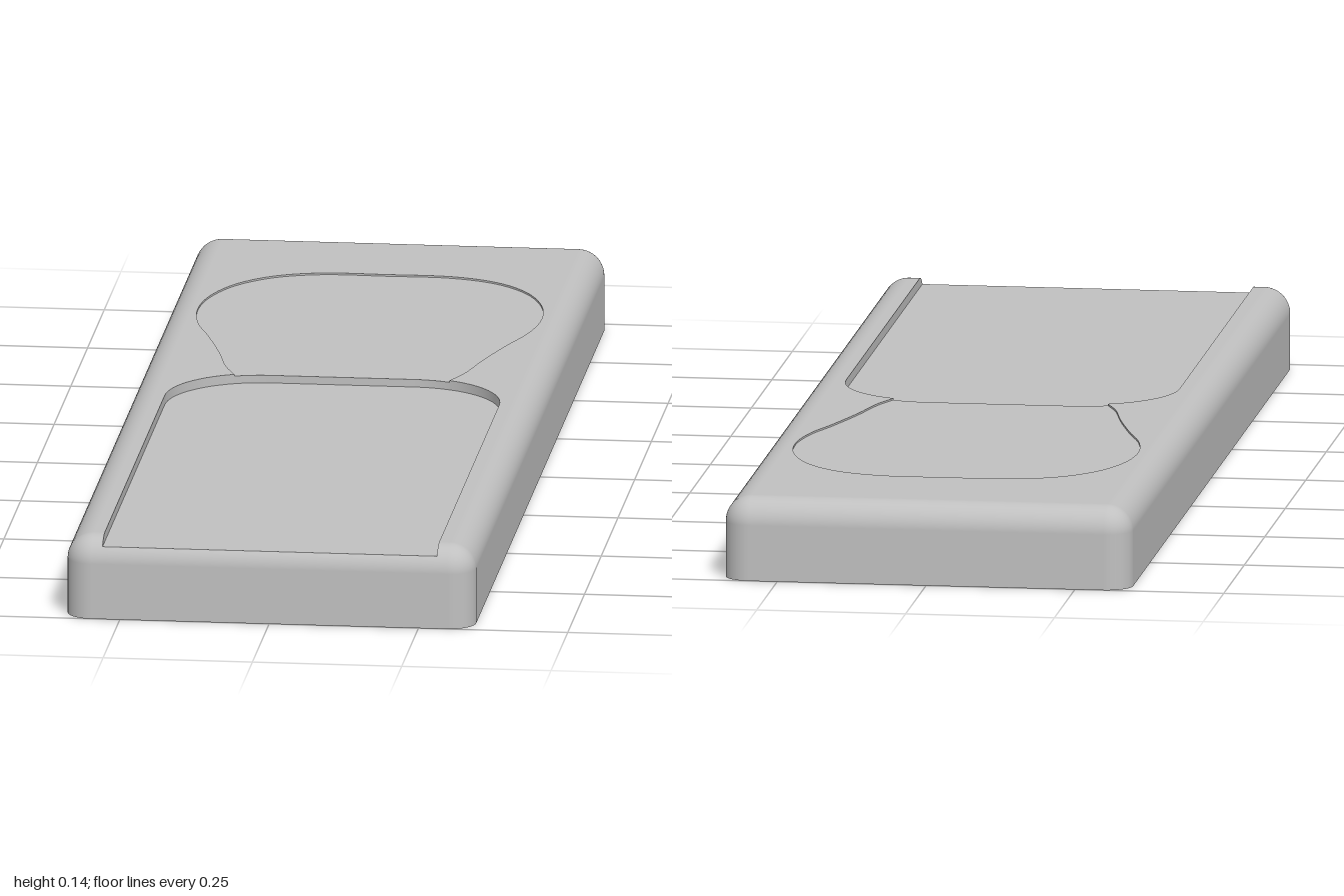
import * as THREE from 'three';

const W = 0.342, L = 1, H = 0.138;          // half width, half length, height
const R = 0.044;                            // edge rounding
const CX = W - R, CZ = L - R, CY = H - R;   // centres of the rounded corners
const DEEP = 0.122, SHALLOW = 0.135;        // floor heights of the two recesses
const SLOT = 0.28, ARC = 0.16;              // slot half width and its corner radius
const SLOT_Z = 0.06;                        // where the slot corners begin

const material = new THREE.MeshStandardMaterial({ color: 0xc0c0c0, side: THREE.DoubleSide });
material.name = 'plain grey';

const mirrored = (half) => half.map(([x, z]) => [-x, z]).reverse();

function mesh(name, geometry) {
  const m = new THREE.Mesh(geometry, material);
  m.name = name;
  return m;
}

// Flat horizontal face from [x, z] points
function flat(name, points, y, down = false) {
  const s = down ? 1 : -1;
  const g = new THREE.ShapeGeometry(new THREE.Shape(points.map(([x, z]) => new THREE.Vector2(x, s * z))));
  g.rotateX(s * Math.PI / 2);
  g.translate(0, y, 0);
  return mesh(name, g);
}

// Upright wall along [x, z] points, from height lo to height hi(point)
function wall(name, points, lo, hi) {
  const pos = [], idx = [];
  points.forEach((p, i) => {
    pos.push(p[0], lo, p[1], p[0], p[2] ?? hi, p[1]);
    if (i) {
      const a = 2 * i - 2;
      idx.push(a, a + 1, a + 3, a, a + 3, a + 2);
    }
  });
  const g = new THREE.BufferGeometry();
  g.setAttribute('position', new THREE.Float32BufferAttribute(pos, 3));
  g.setIndex(idx);
  g.computeVertexNormals();
  return mesh(name, g);
}

// Outline as centre points with outward angles; two extra points mark the slot
function outline() {
  const ring = [], n = 10;
  [[1, 1], [-1, 1], [-1, -1], [1, -1]].forEach(([sx, sz], c) => {
    for (let i = 0; i <= n; i++) ring.push([sx * CX, sz * CZ, (c + i / n) * Math.PI / 2]);
    if (c === 0) ring.push([SLOT, CZ, Math.PI / 2], [-SLOT, CZ, Math.PI / 2]);
  });
  return { ring, slotIndex: n + 1 };
}

// Elevation angles of the top rounding, with one level exactly at the slot floor
const slotAngle = Math.asin((DEEP - CY) / R);
const angles = [];
for (let i = 0; i <= 5; i++) angles.push(slotAngle * i / 5);
for (let i = 1; i <= 8; i++) angles.push(slotAngle + (Math.PI / 2 - slotAngle) * i / 8);

// Sides and rounded top edge, left open where the slot runs out at the front
function shell() {
  const { ring, slotIndex } = outline();
  const levels = [[0, 0], ...angles.map((e) => [CY + R * Math.sin(e), e])];
  const pos = [], nor = [], idx = [], n = ring.length;
  levels.forEach(([y, e], k) => {
    const c = Math.cos(e);
    ring.forEach(([x, z, a], i) => {
      pos.push(x + R * c * Math.cos(a), y, z + R * c * Math.sin(a));
      nor.push(c * Math.cos(a), Math.sin(e), c * Math.sin(a));
      if (k === 0 || (i === slotIndex && levels[k - 1][0] > DEEP - 1e-6)) return;
      const j = (i + 1) % n, lo = (k - 1) * n, hi = k * n;
      idx.push(lo + i, hi + i, hi + j, lo + i, hi + j, lo + j);
    });
  });
  const g = new THREE.BufferGeometry();
  g.setAttribute('position', new THREE.Float32BufferAttribute(pos, 3));
  g.setAttribute('normal', new THREE.Float32BufferAttribute(nor, 3));
  g.setIndex(idx);
  return mesh('bodySides', g);
}

export function createModel() {
  const group = new THREE.Group();
  group.name = 'recessedSlab';

  // Body
  group.add(shell());
  const base = outline().ring.map(([x, z, a]) => [x + R * Math.cos(a), z + R * Math.sin(a)]);
  group.add(flat('bodyUnderside', base, 0, true));

  // Slot outline: right side up to the junction, then the middle of the arch
  const junction = Math.acos(0.06 / ARC);
  const arcPoint = (a) => [SLOT - ARC + ARC * Math.cos(a), SLOT_Z - ARC * Math.sin(a)];
  const side = [], middleHalf = [];
  for (let i = 0; i <= 14; i++) side.push(arcPoint(junction * i / 14));
  for (let i = 0; i <= 5; i++) middleHalf.push(arcPoint(junction + (Math.PI / 2 - junction) * i / 5));
  const middle = [...middleHalf, ...mirrored(middleHalf)];

  // Pear-shaped shallow recess, from the right junction around to the left one
  const half = [side[14], [0.2, -0.14], [0.22, -0.225], [0.25, -0.33], [0.276, -0.41], [0.288, -0.5],
    [0.278, -0.59], [0.242, -0.675], [0.185, -0.732], [0.11, -0.76]];
  const curve = new THREE.CatmullRomCurve3(
    [...half, [0, -0.762], ...mirrored(half)].map(([x, z]) => new THREE.Vector3(x, 0, z)), false, 'centripetal');
  const pear = curve.getPoints(100).map((p) => [p.x, p.z]);

  // Top face around both recesses
  const inner = [[SLOT, CZ], ...side, ...pear.slice(1, -1), ...mirrored(side), [-SLOT, CZ]];
  group.add(flat('topFace', [...inner, [-CX, CZ], [-CX, -CZ], [CX, -CZ], [CX, CZ]], H));

  // Recess floors
  const frontZ = CZ + R * Math.cos(slotAngle);
  const slotFloor = [[SLOT, frontZ], ...side, ...middle.slice(1, -1), ...mirrored(side), [-SLOT, frontZ]];
  group.add(flat('slotFloor', slotFloor, DEEP));
  group.add(flat('shallowFloor', [...pear, ...mirrored(middle).map(([x, z]) => [-x, z]).slice(1, -1)], SHALLOW));

  // Recess walls; the slot wall follows the rounded edge down at the front
  const front = angles.filter((e) => e >= slotAngle - 1e-9)
    .map((e) => [SLOT, CZ + R * Math.cos(e), CY + R * Math.sin(e)]);
  const right = [...front, ...side];
  const left = right.map(([x, z, y]) => [-x, z, y]).reverse();
  group.add(wall('slotWallLeft', right, DEEP, H));
  group.add(wall('slotWallRight', left, DEEP, H));
  group.add(wall('slotWallBack', middle, DEEP, SHALLOW));
  group.add(wall('shallowWall', pear, SHALLOW, H));
  return group;
}
